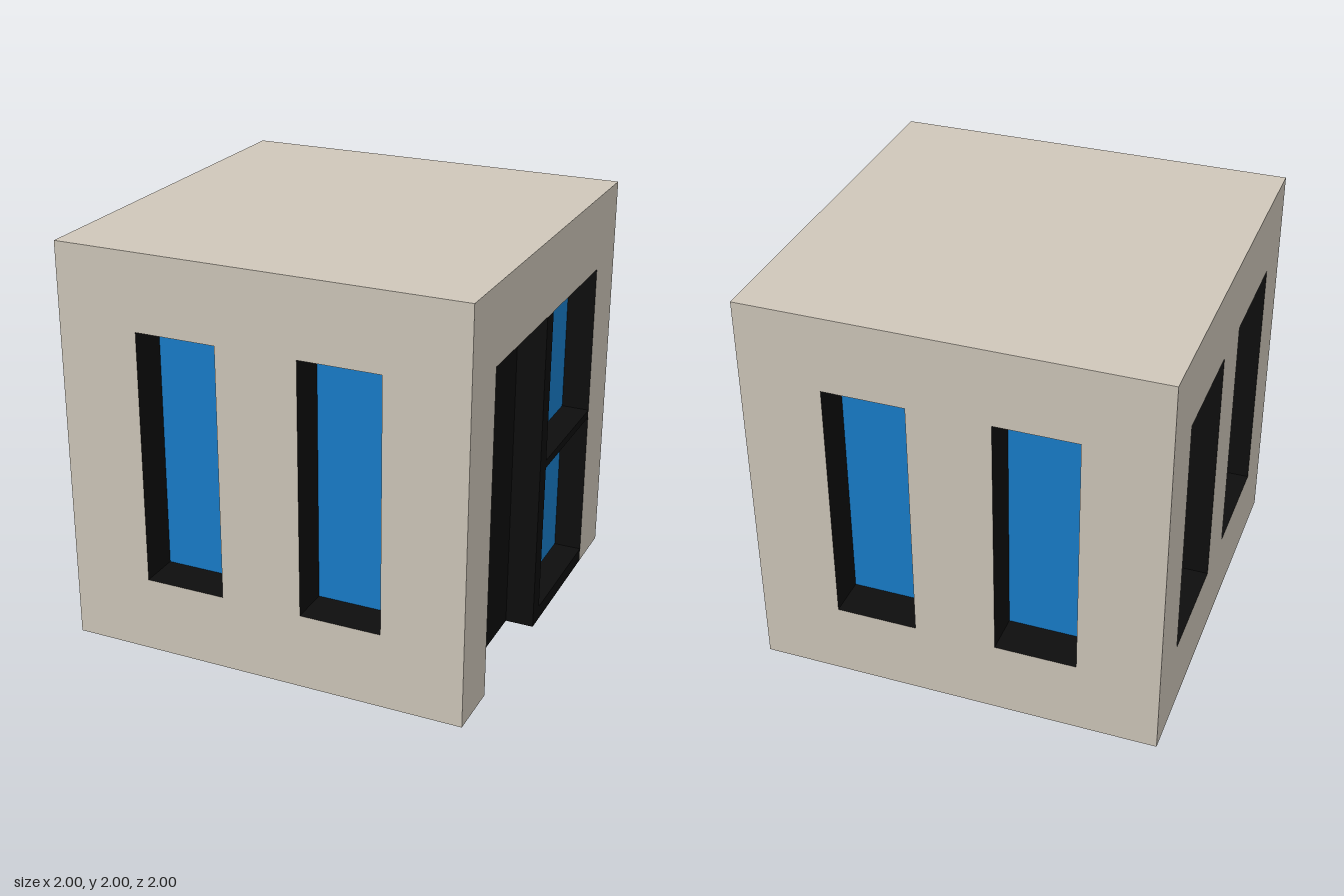
import * as THREE from 'three';

const material = (color) => new THREE.MeshStandardMaterial({ color });

export function createModel() {
  const model = new THREE.Group();
  model.name = 'cubeHouse';
  const plaster = material(0xcfc7ba);
  const dark = material(0x0e0e0e);
  const glass = material(0x187dca);

  function add(parent, name, geometry, mat, x = 0, y = 0, z = 0) {
    const mesh = new THREE.Mesh(geometry, mat);
    mesh.name = name;
    mesh.position.set(x, y, z);
    parent.add(mesh);
    return mesh;
  }

  const outline = (points) => new THREE.Shape(points.map(([x, y]) => new THREE.Vector2(x, y)));
  const rect = (x0, x1, y0, y1) => [[x0, y0], [x1, y0], [x1, y1], [x0, y1]];

  // Each side is modelled facing +z, one unit out, then turned into place
  function makeSide(name, turn, points, openings = []) {
    const side = new THREE.Group();
    side.name = name;
    side.rotation.y = turn;
    const shape = outline(points);
    openings.forEach((o) => shape.holes.push(outline(rect(...o))));
    add(side, 'wall', new THREE.ShapeGeometry(shape), plaster, 0, 0, 1);
    model.add(side);
    return side;
  }

  // Dark lining around an opening, running inwards from the wall face
  function addReveals(side, [x0, x1, y0, y1], depth, hasSill) {
    const w = x1 - x0, h = y1 - y0, cx = (x0 + x1) / 2, cy = (y0 + y1) / 2, z = 1 - depth / 2;
    const upright = new THREE.PlaneGeometry(depth, h);
    const level = new THREE.PlaneGeometry(w, depth);
    add(side, 'leftReveal', upright, dark, x0, cy, z).rotation.y = Math.PI / 2;
    add(side, 'rightReveal', upright, dark, x1, cy, z).rotation.y = -Math.PI / 2;
    add(side, 'headReveal', level, dark, cx, y1, z).rotation.x = Math.PI / 2;
    if (hasSill) add(side, 'sillReveal', level, dark, cx, y0, z).rotation.x = -Math.PI / 2;
  }

  function addPane(side, name, mat, [x0, x1, y0, y1], depth) {
    add(side, name, new THREE.PlaneGeometry(x1 - x0, y1 - y0), mat,
      (x0 + x1) / 2, (y0 + y1) / 2, 1 - depth);
  }

  // Three sides with a pair of tall recessed windows
  const low = 0.375, high = 1.625, windowDepth = 0.2;
  [
    ['frontSide', 0, 0.2, 0.6],
    ['backSide', Math.PI, 0.2, 0.6],
    ['windowSide', -Math.PI / 2, 0.143, 0.714],
  ].forEach(([name, turn, inner, outer]) => {
    const openings = [[-outer, -inner, low, high], [inner, outer, low, high]];
    const side = makeSide(name, turn, rect(-1, 1, 0, 2), openings);
    openings.forEach((o) => {
      addReveals(side, o, windowDepth, true);
      addPane(side, 'windowGlass', glass, o, windowDepth);
    });
  });

  // Entrance side: one opening down to the ground holding a door and a glazed bay
  const edge = 0.714, depth = 0.14, postLeft = -0.04, postRight = 0.045;
  const entrance = makeSide('entranceSide', Math.PI / 2, [
    [-1, 0], [-edge, 0], [-edge, high], [edge, high], [edge, 0], [1, 0], [1, 2], [-1, 2],
  ]);
  addReveals(entrance, [-edge, edge, 0, high], depth, false);
  addPane(entrance, 'door', dark, [-edge, postLeft, 0, high], depth);
  addPane(entrance, 'sideGlass', glass, [postRight, edge, 0.07, high], depth);

  // Frame bars flush with the wall
  [
    ['framePost', postLeft, postRight, 0, high],
    ['frameSill', postRight, edge, 0, 0.07],
    ['frameCrossbar', postRight, edge, 0.83, 0.87],
  ].forEach(([name, x0, x1, y0, y1]) => {
    add(entrance, name, new THREE.BoxGeometry(x1 - x0, y1 - y0, depth), dark,
      (x0 + x1) / 2, (y0 + y1) / 2, 1 - depth / 2);
  });

  // Roof, and a floor notched in front of the door
  add(model, 'roof', new THREE.PlaneGeometry(2, 2), plaster, 0, 2, 0).rotation.x = -Math.PI / 2;
  const floor = outline([
    [-1, -1], [1, -1], [1, -postLeft], [1 - depth, -postLeft], [1 - depth, edge], [1, edge], [1, 1], [-1, 1],
  ]);
  add(model, 'floor', new THREE.ShapeGeometry(floor), plaster).rotation.x = Math.PI / 2;

  return model;
}
